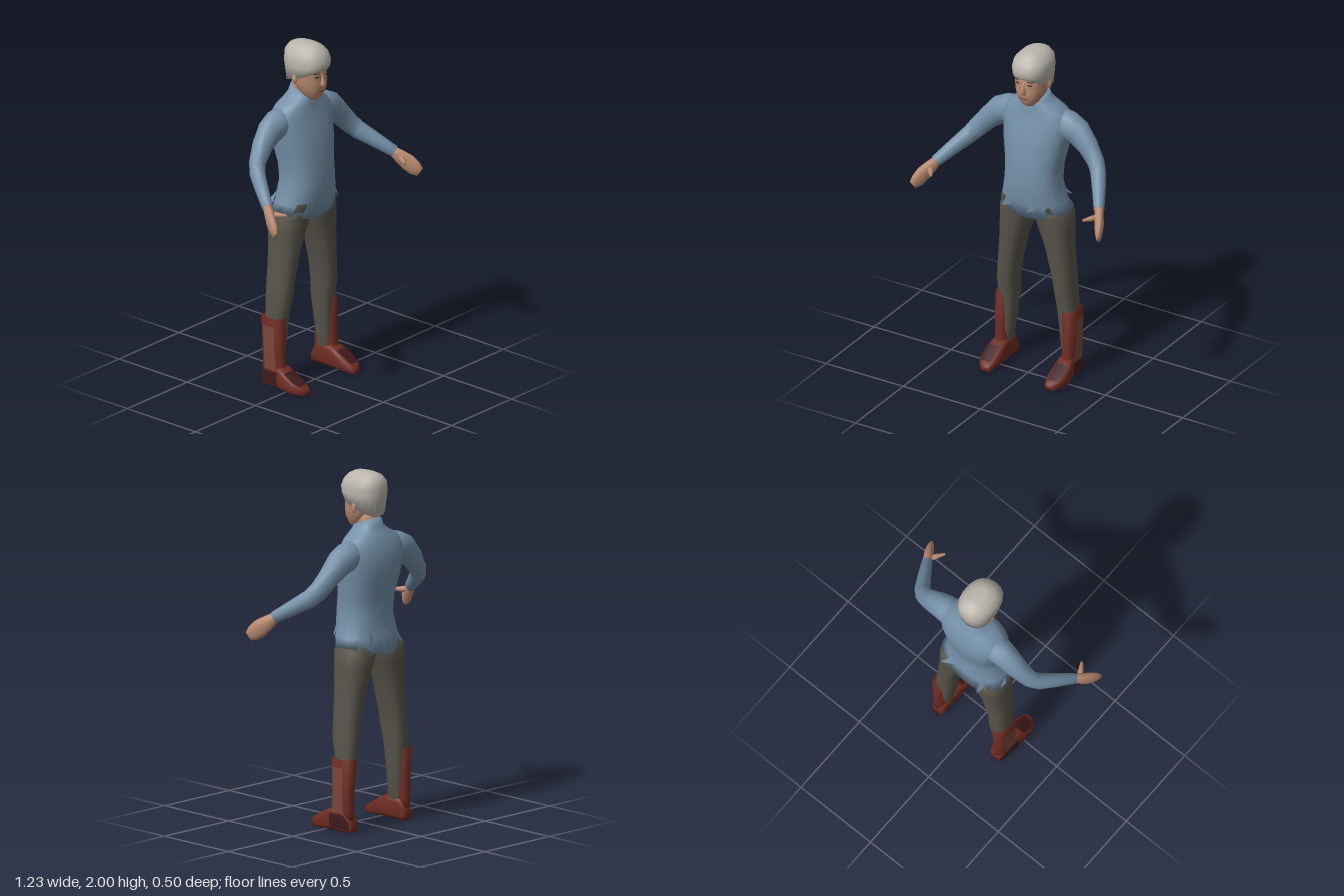
import * as THREE from 'three';

const mat = (name, color) => {
  const m = new THREE.MeshStandardMaterial({ color });
  m.name = name;
  return m;
};

// Skin a list of rings (counter-clockwise seen from the far end)
function loft(rings, closed = true) {
  const n = rings[0].length, pos = rings.flat().flatMap(p => [p.x, p.y, p.z]), idx = [];
  for (let i = 0; i < rings.length - 1; i++) {
    for (let j = 0; j < (closed ? n : n - 1); j++) {
      const a = i * n + j, b = i * n + (j + 1) % n;
      idx.push(a, b, b + n, a, b + n, a + n);
    }
  }
  if (closed) {
    [0, rings.length - 1].forEach((r, end) => {
      const c = rings[r].reduce((s, p) => s.add(p), new THREE.Vector3()).divideScalar(n);
      const k = pos.length / 3;
      pos.push(c.x, c.y, c.z);
      for (let j = 0; j < n; j++) {
        const a = r * n + j, b = r * n + (j + 1) % n;
        if (end) idx.push(a, b, k); else idx.push(b, a, k);
      }
    });
  }
  const g = new THREE.BufferGeometry();
  g.setAttribute('position', new THREE.Float32BufferAttribute(pos, 3));
  g.setIndex(idx);
  g.computeVertexNormals();
  return g;
}

// Upright forms use sections [y, centreX, halfWidth, frontZ, backZ]; angle 0 is the front
const soft = v => Math.sign(v) * Math.abs(v) ** 0.85;
function at(secs, y, t, off = 0) {
  let i = 0;
  while (i < secs.length - 2 && y > secs[i + 1][0]) i++;
  const f = (y - secs[i][0]) / (secs[i + 1][0] - secs[i][0]);
  const [cx, w, zf, zb] = [1, 2, 3, 4].map(k => secs[i][k] + (secs[i + 1][k] - secs[i][k]) * f);
  return new THREE.Vector3(cx + (w + off) * soft(Math.sin(t)), y,
    (zf + zb) / 2 + ((zf - zb) / 2 + off) * soft(Math.cos(t)));
}
function upright(secs, hem, top, n = 18) {
  const rings = secs.map(s => Array.from({ length: n }, (_, j) => at(secs, s[0], j / n * Math.PI * 2)));
  const bend = (ring, fn) => ring.forEach((p, j) => { p.y += fn(j / n * Math.PI * 2); });
  if (hem) bend(rings[0], hem);
  if (top) bend(rings[rings.length - 1], top);
  return loft(rings);
}
// Thin painted area following an upright form
function patch(secs, y0, y1, t0, t1, off = 0.004) {
  const rings = [];
  for (let i = 0; i <= 6; i++) {
    rings.push(Array.from({ length: 6 }, (_, j) =>
      at(secs, y0 + (y1 - y0) * i / 6, t0 + (t1 - t0) * j / 5, off)));
  }
  return loft(rings, false);
}

// Limbs follow points [x, y, z, radiusAcross, radiusUp]
function limb(pts, n = 12) {
  const v = pts.map(p => new THREE.Vector3(p[0], p[1], p[2]));
  return loft(pts.map((p, i) => {
    const d = v[Math.min(i + 1, v.length - 1)].clone().sub(v[Math.max(i - 1, 0)]).normalize();
    const u = new THREE.Vector3(0, 1, 0).cross(d).normalize(), w = d.clone().cross(u);
    return Array.from({ length: n }, (_, j) => {
      const t = j / n * Math.PI * 2;
      return v[i].clone().addScaledVector(u, Math.cos(t) * p[3]).addScaledVector(w, Math.sin(t) * (p[4] ?? p[3]));
    });
  }));
}

function mirror(g) {
  const m = g.clone().scale(-1, 1, 1), a = m.index.array;
  for (let i = 0; i < a.length; i += 3) [a[i], a[i + 1]] = [a[i + 1], a[i]];
  m.computeVertexNormals();
  return m;
}

export function createModel() {
  const model = new THREE.Group();
  const blue = mat('shirt blue', 0x7490a8), olive = mat('trouser olive', 0x57544a);
  const red = mat('boot red', 0x6e2c22), dark = mat('boot dark', 0x3f1a1c), worn = mat('worn leather', 0x7a463c);
  const skin = mat('skin', 0xb98a70), grey = mat('hair grey', 0xbab6ad), ink = mat('eye brown', 0x45302a);
  const lip = mat('lip', 0x8f5f50);
  blue.side = THREE.DoubleSide;
  const add = (name, geo, material) => {
    const m = new THREE.Mesh(geo, material);
    m.name = name;
    model.add(m);
  };
  const pair = (name, geo, material) => {
    add(name + 'Left', geo, material);
    add(name + 'Right', mirror(geo), material);
  };

  // Shirt body with an uneven hem and a collar rising at the back
  const torso = [
    [1.01, 0, 0.217, 0.03, -0.22], [1.08, 0, 0.19, 0.06, -0.205], [1.2, 0, 0.165, 0.07, -0.19],
    [1.3, 0, 0.168, 0.06, -0.2], [1.42, 0, 0.19, 0.048, -0.23], [1.52, 0, 0.205, 0.025, -0.237],
    [1.585, 0, 0.21, 0.005, -0.222], [1.635, 0, 0.175, -0.005, -0.205], [1.67, 0, 0.115, -0.01, -0.185],
    [1.7, 0, 0.078, -0.015, -0.17], [1.725, 0, 0.066, -0.025, -0.155]];
  add('shirt', upright(torso,
    t => 0.025 - 0.05 * Math.cos(t) ** 2 + (Math.cos(t) < 0 ? 0.014 * Math.sin(7 * t) : 0),
    t => -0.025 * Math.cos(t), 24), blue);

  // Worn gaps and loose scraps around the hem
  add('hemGapRight', patch(torso, 1.045, 1.095, -1.0, -0.6), olive);
  add('hemGapLeft', patch(torso, 1.04, 1.08, 0.65, 0.85), olive);
  [[0.2, 1.07, 0.025], [-0.5, 1.06, 0.03], [0.6, 1.09, 0.03], [2.7, 1.08, 0.045],
    [3.7, 1.06, 0.045], [3.2, 1.16, 0.02]].forEach(([t, y, off]) => {
    const g = new THREE.BufferGeometry().setFromPoints([
      at(torso, y - 0.03, t - 0.1, off), at(torso, y - 0.01, t + 0.15, 0.003), at(torso, y + 0.05, t, 0.003)]);
    g.computeVertexNormals();
    add('hemScrap', g, blue);
  });

  // Sleeves
  pair('sleeve', limb([
    [0.1, 1.57, -0.11, 0.075, 0.08], [0.19, 1.55, -0.115, 0.078, 0.085], [0.25, 1.525, -0.115, 0.068, 0.08],
    [0.32, 1.46, -0.108, 0.056, 0.064], [0.385, 1.385, -0.088, 0.046, 0.056], [0.42, 1.343, -0.055, 0.044, 0.052],
    [0.47, 1.29, 0.02, 0.038, 0.044], [0.53, 1.225, 0.115, 0.03, 0.034]], 14), blue);

  // Hands
  pair('hand', limb([
    [0.52, 1.235, 0.1, 0.024, 0.026], [0.545, 1.2, 0.14, 0.026, 0.04], [0.57, 1.165, 0.178, 0.026, 0.05],
    [0.588, 1.133, 0.212, 0.021, 0.046], [0.602, 1.112, 0.238, 0.012, 0.03]]), skin);
  pair('thumb', limb([
    [0.55, 1.195, 0.135, 0.017], [0.522, 1.195, 0.18, 0.016], [0.492, 1.193, 0.225, 0.007]], 8), skin);

  // Trousers
  pair('trouserLeg', upright([
    [0.06, 0.212, 0.035, -0.06, -0.15], [0.2, 0.203, 0.047, -0.055, -0.16], [0.41, 0.19, 0.056, -0.045, -0.18],
    [0.52, 0.186, 0.058, -0.02, -0.182], [0.62, 0.175, 0.062, -0.015, -0.183], [0.8, 0.147, 0.075, -0.002, -0.19],
    [0.92, 0.123, 0.096, 0.01, -0.205], [1.0, 0.107, 0.11, 0.018, -0.212], [1.07, 0.09, 0.09, 0.02, -0.18]]), olive);

  // Boot shafts sit slightly outward, so the trousers show on the inner side
  const shaft = [[0.06, 0.215, 0.042, -0.02, -0.183], [0.12, 0.215, 0.042, -0.03, -0.185],
    [0.2, 0.218, 0.043, -0.038, -0.183], [0.41, 0.213, 0.051, -0.04, -0.192]];
  pair('bootShaft', upright(shaft), red);
  pair('bootPanel', patch(shaft, 0.11, 0.37, 1.1, 2.0), worn);

  // Boot feet from heel to toe: [z, centreX, halfWidth, height]
  const foot = [[-0.183, 0.207, 0.034, 0.07], [-0.15, 0.21, 0.046, 0.13], [-0.05, 0.212, 0.05, 0.135],
    [0, 0.217, 0.056, 0.11], [0.06, 0.217, 0.055, 0.075], [0.1, 0.212, 0.042, 0.052], [0.122, 0.207, 0.024, 0.035]];
  const footRing = (s, t0, t1, n, off) => Array.from({ length: n }, (_, j) => {
    const t = t0 + (t1 - t0) * j / n, q = v => Math.sign(v) * Math.abs(v) ** 0.6;
    return new THREE.Vector3(s[1] + (s[2] + off) * q(Math.cos(t)), s[3] / 2 + (s[3] / 2 + off) * q(Math.sin(t)), s[0]);
  });
  pair('bootFoot', loft(foot.map(s => footRing(s, 0, Math.PI * 2, 16, 0))), red);
  pair('toePatch', loft(foot.slice(3, 6).map(s => footRing(s, 0.9, 2.2, 6, 0.004)), false), dark);
  pair('heelPatch', loft(foot.slice(0, 3).map(s => footRing(s, -0.4, 0.5, 5, 0.004)), false), dark);

  // Neck and face
  add('neck', upright([[1.66, 0, 0.06, -0.03, -0.15], [1.72, 0, 0.058, -0.025, -0.145], [1.79, 0, 0.062, -0.01, -0.15]]), skin);
  const face = [[1.68, 0, 0.032, 0.02, -0.03], [1.7, 0, 0.053, 0.036, -0.06], [1.74, 0, 0.075, 0.052, -0.11],
    [1.78, 0, 0.087, 0.055, -0.14], [1.83, 0, 0.093, 0.052, -0.16], [1.9, 0, 0.094, 0.055, -0.16]];
  add('face', upright(face), skin);
  add('nose', upright([[1.765, 0, 0.015, 0.066, 0.03], [1.78, 0, 0.018, 0.077, 0.03],
    [1.81, 0, 0.01, 0.064, 0.03], [1.84, 0, 0.007, 0.055, 0.03]], null, null, 8), skin);
  add('mouth', patch(face, 1.732, 1.744, -0.3, 0.3), lip);
  pair('eye', patch(face, 1.823, 1.832, 0.24, 0.5), ink);
  pair('brow', patch(face, 1.845, 1.851, 0.2, 0.6), ink);
  pair('ear', new THREE.SphereGeometry(1, 8, 6).scale(0.012, 0.03, 0.018).translate(0.094, 1.805, -0.07), skin);

  // Hair, lower at the nape
  add('hair', upright([[1.81, 0, 0.098, 0.062, -0.175], [1.875, 0, 0.104, 0.075, -0.192], [1.91, 0, 0.106, 0.079, -0.192],
    [1.95, 0, 0.1, 0.062, -0.19], [1.98, 0, 0.073, 0.035, -0.17], [1.995, 0, 0.042, 0.005, -0.14],
    [2, 0, 0.02, -0.02, -0.11]], t => 0.05 * Math.cos(t)), grey);
  return model;
}
